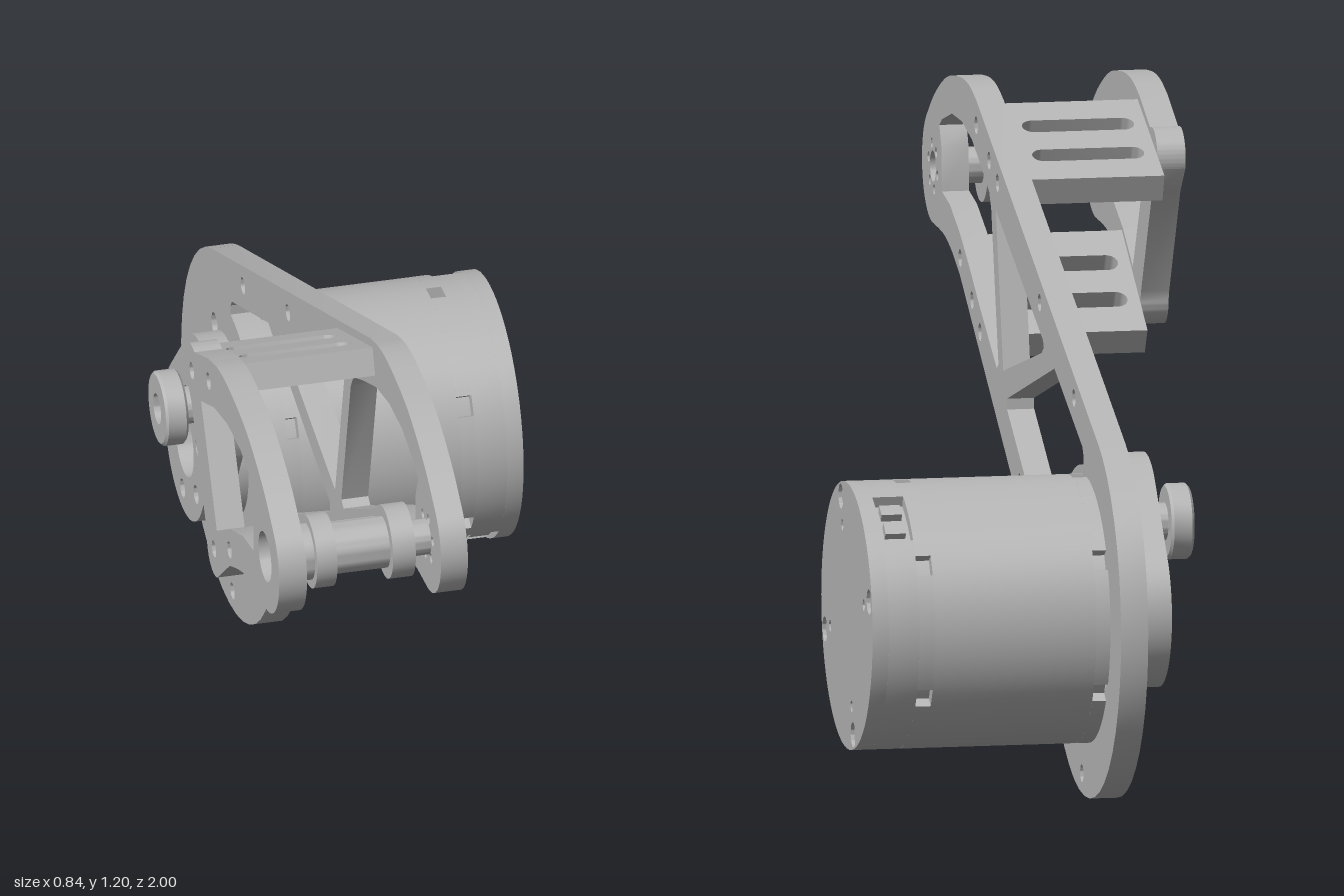
import * as THREE from 'three';
import { toCreasedNormals } from 'three/addons/utils/BufferGeometryUtils.js';

const grey = new THREE.MeshStandardMaterial({ color: 0xb6b6b6 });
grey.name = 'machined grey';

const AXIS = [-0.635, 0.365]; // motor axis as (z, y)
const TIP = [0.89, 0.98]; // front axle as (z, y)
const rad = THREE.MathUtils.degToRad;
const vecs = (pts) => pts.map(([a, b]) => new THREE.Vector2(a, b));
const polar = ([z, y], r, a) => [z + r * Math.cos(a), y + r * Math.sin(a)];

function add(parent, name, geometry) {
  const mesh = new THREE.Mesh(geometry, grey);
  mesh.name = name;
  parent.add(mesh);
  return mesh;
}

// Extrudes a (z, y) shape between two x positions
function slab(shape, x0, x1, segments = 14) {
  const g = new THREE.ExtrudeGeometry(shape, { depth: x1 - x0, bevelEnabled: false, curveSegments: segments });
  g.rotateY(-Math.PI / 2).translate(x1, 0, 0);
  return toCreasedNormals(g, 0.5);
}

function circle([z, y], r) {
  return new THREE.Path().absarc(z, y, r, 0, Math.PI * 2, false);
}

function disc(c, r) {
  const s = new THREE.Shape();
  s.absarc(c[0], c[1], r, 0, Math.PI * 2, false);
  return s;
}

// Ring sector around the motor axis
function sector(r0, r1, a0, a1) {
  const s = new THREE.Shape();
  s.absarc(...AXIS, r1, a0, a1, false);
  s.absarc(...AXIS, r0, a1, a0, true);
  return s;
}

// Solid of revolution along x from [radius, x] pairs
function turned(profile, [z, y]) {
  const g = toCreasedNormals(new THREE.LatheGeometry(vecs(profile), 40), 0.5);
  return g.rotateZ(-Math.PI / 2).translate(0, y, z);
}

// Rounded nose shared by both side plates
function nose(shape) {
  shape.splineThru(vecs([[0.7, 0.845], [0.78, 0.865], [0.88, 0.87]]));
  shape.absarc(...TIP, 0.11, rad(-95), rad(55), false);
  shape.splineThru(vecs([[0.87, 1.125], [0.75, 1.175], [0.62, 1.196], [0.53, 1.195], [0.455, 1.177]]));
}

const windowTop = [[0.8, 1.085], [0.7, 1.112], [0.6, 1.113], [0.5, 1.094], [0.398, 1.053]];
const windowBottom = [[0.62, 0.893], [0.72, 0.932], [0.8, 0.945], [0.805, 1.03], [0.825, 1.07]];
const upperHoles = [[0.456, 1.128], [0.327, 1.08], [0.242, 1.05]];
const lowerHoles = [[0.617, 0.845], [0.498, 0.782], [0.418, 0.733]];

function mainPlate() {
  const s = new THREE.Shape();
  s.moveTo(-0.277, 0.278);
  s.lineTo(0.62, 0.812);
  nose(s);
  s.lineTo(-0.767, 0.705);
  s.absarc(...AXIS, 0.365, rad(111), rad(346.3), false);
  // Truss windows
  s.holes.push(new THREE.Path(vecs([...windowTop, [0.325, 1.02], [0.305, 0.99], [0.232, 0.7], [0.25, 0.69],
    [0.435, 0.79], [0.52, 0.84], ...windowBottom])));
  s.holes.push(new THREE.Path(vecs([[0.259, 0.995], [-0.215, 0.818], [-0.223, 0.805], [-0.202, 0.791], [0.184, 0.695]])));
  const bay = new THREE.Path(vecs([[0.146, 0.647], [-0.33, 0.781], [-0.61, 0.674], [-0.62, 0.66]]));
  bay.absarc(...AXIS, 0.275, rad(87), rad(-3), true);
  bay.lineTo(-0.314, 0.364);
  bay.lineTo(0.146, 0.626);
  s.holes.push(bay);
  // Bolt holes
  for (const c of [...upperHoles, ...lowerHoles, [0.02, 0.505], [-0.18, 0.885], [-0.525, 0.755], [-0.605, 0.04]]) {
    s.holes.push(circle(c, 0.017));
  }
  for (let i = 0; i < 4; i++) s.holes.push(circle(polar(AXIS, 0.215, rad(120 + i * 90)), 0.024));
  s.holes.push(circle(TIP, 0.03));
  for (let i = 0; i < 6; i++) s.holes.push(circle(polar(TIP, 0.045, rad(i * 60 + 15)), 0.01));
  return slab(s, -0.1, -0.047);
}

function outerPlate() {
  const s = new THREE.Shape();
  s.absarc(...lowerHoles[1], 0.055, Math.PI, rad(300), false);
  s.lineTo(0.62, 0.812);
  nose(s);
  s.lineTo(0.347, 1.132);
  s.absarc(...upperHoles[1], 0.055, rad(69), rad(200), false);
  s.lineTo(0.325, 1.01);
  s.lineTo(0.437, 0.8);
  s.holes.push(new THREE.Path(vecs([...windowTop, [0.52, 0.834], ...windowBottom])));
  for (const c of [upperHoles[0], upperHoles[1], lowerHoles[0], lowerHoles[1]]) s.holes.push(circle(c, 0.017));
  s.holes.push(circle(TIP, 0.05));
  return slab(s, -0.42, -0.365);
}

// Slotted spacer block between the side plates
function bridge(parent, name, z, y, length, slope) {
  const s = new THREE.Shape(vecs([[-0.1325, -length / 2], [0.1325, -length / 2], [0.1325, length / 2], [-0.1325, length / 2]]));
  for (const v of [-0.055, 0.055]) {
    const slot = new THREE.Path();
    slot.absarc(0.087, v, 0.022, -Math.PI / 2, Math.PI / 2, false);
    slot.absarc(-0.087, v, 0.022, Math.PI / 2, Math.PI * 1.5, false);
    s.holes.push(slot);
  }
  const g = new THREE.ExtrudeGeometry(s, { depth: 0.055, bevelEnabled: false, curveSegments: 8 });
  g.translate(0, 0, -0.0275).rotateX(Math.PI / 2);
  const mesh = add(parent, name, toCreasedNormals(g, 0.5));
  mesh.position.set(-0.2325, y, z);
  mesh.rotation.x = -Math.atan(slope);
}

function motor() {
  const group = new THREE.Group();
  group.name = 'motor';
  add(group, 'motorCore', slab(disc(AXIS, 0.236), -0.047, 0.385, 32));
  const slots = [30, 90, 150, 210, 270, 330].map((a) => [rad(a), 0.078]);
  const ports = [-56, 124].map((a) => [rad(a), 0.24]);
  // Housing rings, cut open at the vents and at the ports
  const rings = [[-0.047, -0.02, slots], [-0.02, 0.295, []], [0.295, 0.325, slots], [0.325, 0.385, ports]];
  for (const [x0, x1, cuts] of rings) {
    if (!cuts.length) {
      const s = disc(AXIS, 0.258);
      s.holes.push(circle(AXIS, 0.236));
      add(group, 'housing', slab(s, x0, x1, 32));
    }
    cuts.forEach(([a, half], i) => {
      const [b, nextHalf] = cuts[(i + 1) % cuts.length];
      const end = (i + 1 === cuts.length ? b + Math.PI * 2 : b) - nextHalf;
      add(group, 'housingSegment', slab(sector(0.236, 0.258, a + half, end), x0, x1, 12));
    });
  }
  // Connector blocks inside the ports
  for (const [a] of ports) {
    for (const side of [-1, 1]) {
      const mid = a + side * 0.1;
      add(group, 'connector', slab(sector(0.23, 0.252, mid - 0.06, mid + 0.06), 0.335, 0.375, 4));
    }
  }
  // End cap with screws
  const cap = disc(AXIS, 0.258);
  for (let i = 0; i < 4; i++) {
    const a = rad(74.5 + i * 90);
    const c = polar(AXIS, 0.23, a);
    cap.holes.push(circle(c, 0.024), circle(polar(AXIS, 0.175, a), 0.011));
    const head = disc(c, 0.019);
    head.holes.push(circle(c, 0.009));
    add(group, 'capScrew', slab(head, 0.385, 0.411, 8));
  }
  add(group, 'endCap', slab(cap, 0.385, 0.417, 32));
  return group;
}

function crank() {
  const group = new THREE.Group();
  group.name = 'crank';
  const pin = [-0.523, 0.51];
  const dz = pin[0] - AXIS[0], dy = pin[1] - AXIS[1];
  const r1 = 0.155, r2 = 0.135;
  const phi = Math.atan2(dy, dz), spread = Math.acos((r1 - r2) / Math.hypot(dz, dy));
  const arm = new THREE.Shape();
  arm.absarc(...pin, r2, phi - spread, phi + spread, false);
  arm.absarc(...AXIS, r1, phi + spread, phi - spread + Math.PI * 2, false);
  const hub = disc(AXIS, 0.155);
  for (const s of [arm, hub]) s.holes.push(circle(AXIS, 0.07));
  for (let i = 0; i < 6; i++) arm.holes.push(circle(polar(AXIS, 0.112, phi + rad(30 + i * 60)), 0.019));
  add(group, 'crankArm', slab(arm, -0.187, -0.132, 24));
  add(group, 'crankHub', slab(hub, -0.132, -0.1, 24));
  add(group, 'crankKnob', turned([[0, -0.25], [0.03, -0.25], [0.03, -0.27], [0.068, -0.27], [0.073, -0.265],
    [0.073, -0.23], [0.068, -0.225], [0.036, -0.225], [0.036, -0.2], [0.052, -0.2], [0.052, -0.187]].reverse(), pin));
  // Lathe profile runs from high x to low x, so it is flipped to face outward
  const knob = group.children[group.children.length - 1].geometry;
  const pos = knob.attributes.position, nor = knob.attributes.normal;
  for (const attr of [pos, nor]) {
    for (let i = 0; i < attr.count; i += 3) {
      const a = [attr.getX(i), attr.getY(i), attr.getZ(i)];
      attr.setXYZ(i, attr.getX(i + 2), attr.getY(i + 2), attr.getZ(i + 2));
      attr.setXYZ(i + 2, ...a);
    }
  }
  for (let i = 0; i < nor.count; i++) nor.setXYZ(i, -nor.getX(i), -nor.getY(i), -nor.getZ(i));
  return group;
}

export function createModel() {
  const model = new THREE.Group();
  model.name = 'robotLegLink';
  add(model, 'mainPlate', mainPlate());
  add(model, 'outerPlate', outerPlate());
  bridge(model, 'upperBridge', 0.347, 1.088, 0.29, 0.39);
  bridge(model, 'lowerBridge', 0.515, 0.787, 0.3, 0.594);
  // Front axle spool with a through bore
  add(model, 'axleSpool', turned([[0.03, -0.365], [0.055, -0.365], [0.055, -0.335], [0.072, -0.335], [0.072, -0.295],
    [0.05, -0.295], [0.05, -0.185], [0.072, -0.185], [0.072, -0.14], [0.035, -0.14], [0.035, -0.1], [0.03, -0.1], [0.03, -0.365]], TIP));
  model.add(motor(), crank());
  return model;
}
